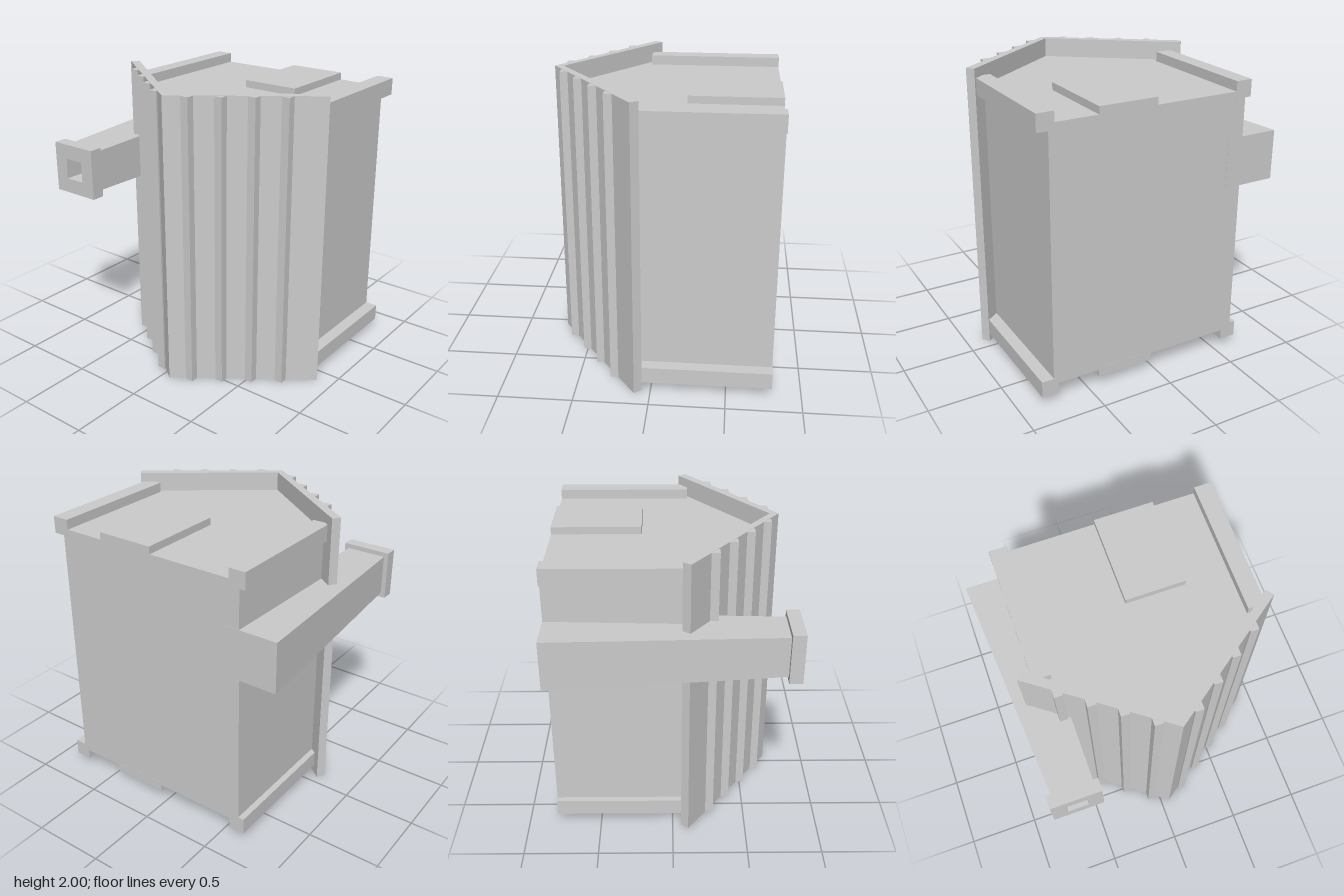
import * as THREE from 'three';

const material = new THREE.MeshStandardMaterial({ color: 0xcccccc, flatShading: true });
const MID = 0.063; // x of the ridge

export function createModel() {
  const model = new THREE.Group();

  const add = (name, geometry) => {
    const mesh = new THREE.Mesh(geometry, material);
    mesh.name = name;
    model.add(mesh);
    return mesh;
  };

  // Box given by its limits on each axis
  const box = (name, x0, x1, y0, y1, z0, z1) =>
    add(name, new THREE.BoxGeometry(x1 - x0, y1 - y0, z1 - z0)
      .translate((x0 + x1) / 2, (y0 + y1) / 2, (z0 + z1) / 2));

  // Upright prism from a plan outline of [x, z] points
  const prism = (name, outline, y0, y1) => {
    const shape = new THREE.Shape(outline.map(([x, z]) => new THREE.Vector2(x, z)));
    const geometry = new THREE.ExtrudeGeometry(shape, { depth: y1 - y0, bevelEnabled: false });
    return add(name, geometry.rotateX(Math.PI / 2).translate(0, y1, 0));
  };

  // Square outline centred on (x, y)
  const square = (Type, x, y, half) => new Type([[-1, -1], [1, -1], [1, 1], [-1, 1]]
    .map(([a, b]) => new THREE.Vector2(x + a * half, y + b * half)));

  // Hull with a wedge-shaped front
  prism('body', [[-0.63, -0.803], [0.76, -0.803], [0.76, 0.13], [MID, 0.655], [-0.63, 0.13]], 0.13, 1.87);

  // V-shaped front plate
  prism('frontPlate', [
    [MID, 0.707], [-0.757, 0.107], [-0.722, 0.058],
    [MID, 0.648], [0.848, 0.058], [0.885, 0.107],
  ], 0, 2);

  // Upright ribs stepping back along both halves of the plate
  for (const side of [-1, 1]) {
    for (let i = 0; i < 4; i++) {
      const x = MID + side * (0.126 + i * 0.165);
      const front = 0.647 - i * 0.12;
      box('frontRib', x - 0.028, x + 0.028, 0.001, 1.999, front - 0.06, front);
    }
  }

  // Corner rails and hatches, top and bottom
  for (const [y0, y1, shift] of [[1.823, 1.937, 0], [0.06, 0.174, 0.008]]) {
    box('rightRail', -0.672, -0.557, y0, y1, -0.804, 0.118);
    box('leftRail', 0.72 + shift, 0.836 + shift, y0, y1, -0.804, 0.118);
  }
  box('topHatch', 0.03, 0.432, 1.85, 1.92, -0.804, -0.2);
  box('bottomHatch', 0.03, 0.432, 0.08, 0.15, -0.804, -0.2);

  // Barrel: hollow square tube widening towards the back
  const cx = -0.65, cy = 1.393, bore = 0.07;
  const tube = (half, depth, z) => {
    const shape = square(THREE.Shape, cx, cy, half);
    shape.holes.push(square(THREE.Path, cx, cy, bore));
    return new THREE.ExtrudeGeometry(shape, { depth, bevelEnabled: false }).translate(0, 0, z);
  };
  const barrel = tube(0.138, 1.525, -0.805);
  const p = barrel.attributes.position;
  for (let i = 0; i < p.count; i++) {
    const dx = p.getX(i) - cx, dy = p.getY(i) - cy;
    if (p.getZ(i) < 0 && Math.abs(dx) > 0.1) {
      p.setXYZ(i, dx < 0 ? -0.892 : -0.514, cy + Math.sign(dy) * 0.17, p.getZ(i));
    }
  }
  barrel.computeVertexNormals();
  add('barrel', barrel);
  box('barrelPlug', cx - bore, cx + bore, cy - bore, cy + bore, -0.805, 0.4);
  add('muzzle', tube(0.17, 0.087, 0.718));

  return model;
}
